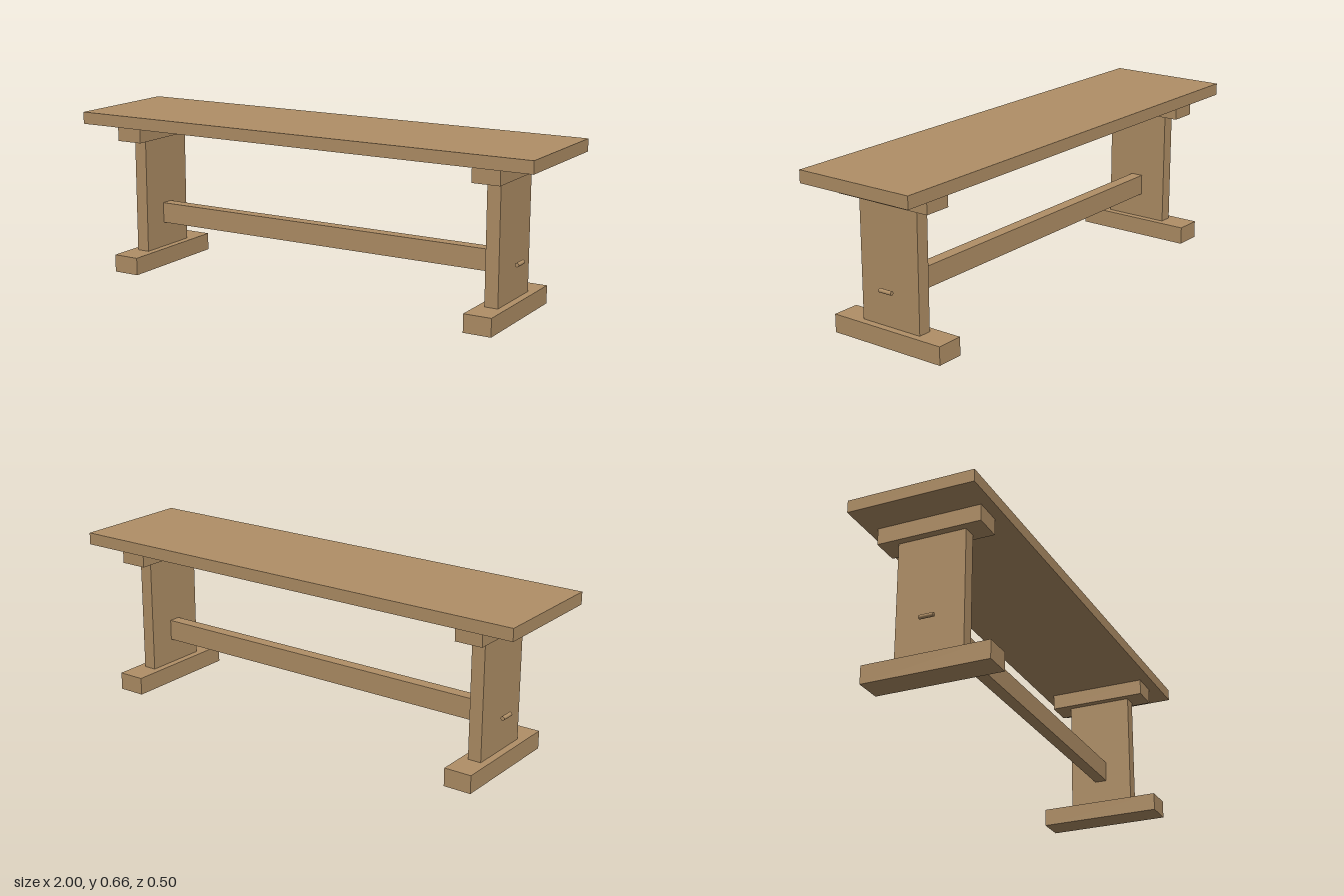
import * as THREE from 'three';

export function createModel() {
  const bench = new THREE.Group();
  bench.name = 'trestleBench';
  const wood = new THREE.MeshStandardMaterial({ color: 0xb08f66 });
  wood.name = 'wood';

  // Rectangular board given its width, vertical range, depth and x position
  function board(name, width, bottom, top, depth, x = 0) {
    const mesh = new THREE.Mesh(new THREE.BoxGeometry(width, top - bottom, depth), wood);
    mesh.name = name;
    mesh.position.set(x, (bottom + top) / 2, 0);
    return mesh;
  }

  // Seat plank and the long rail between the two trestles
  bench.add(board('seat', 2, 0.61, 0.659, 0.502));
  bench.add(board('stretcher', 1.546, 0.175, 0.26, 0.05));

  // Mirrored trestles: foot, upright, bearer and outer peg
  for (const [side, label] of [[1, 'left'], [-1, 'right']]) {
    const trestle = new THREE.Group();
    trestle.name = label + 'Trestle';
    const x = side * 0.8;
    trestle.add(
      board('foot', 0.112, 0, 0.072, 0.502, x),
      board('upright', 0.054, 0.072, 0.545, 0.27, x),
      board('bearer', 0.112, 0.545, 0.61, 0.414, x)
    );

    const peg = new THREE.Mesh(new THREE.CylinderGeometry(0.008, 0.008, 0.057, 24), wood);
    peg.name = 'peg';
    peg.rotation.x = Math.PI / 2;
    peg.position.set(side * 0.85, 0.216, 0);
    trestle.add(peg);
    bench.add(trestle);
  }
  return bench;
}
